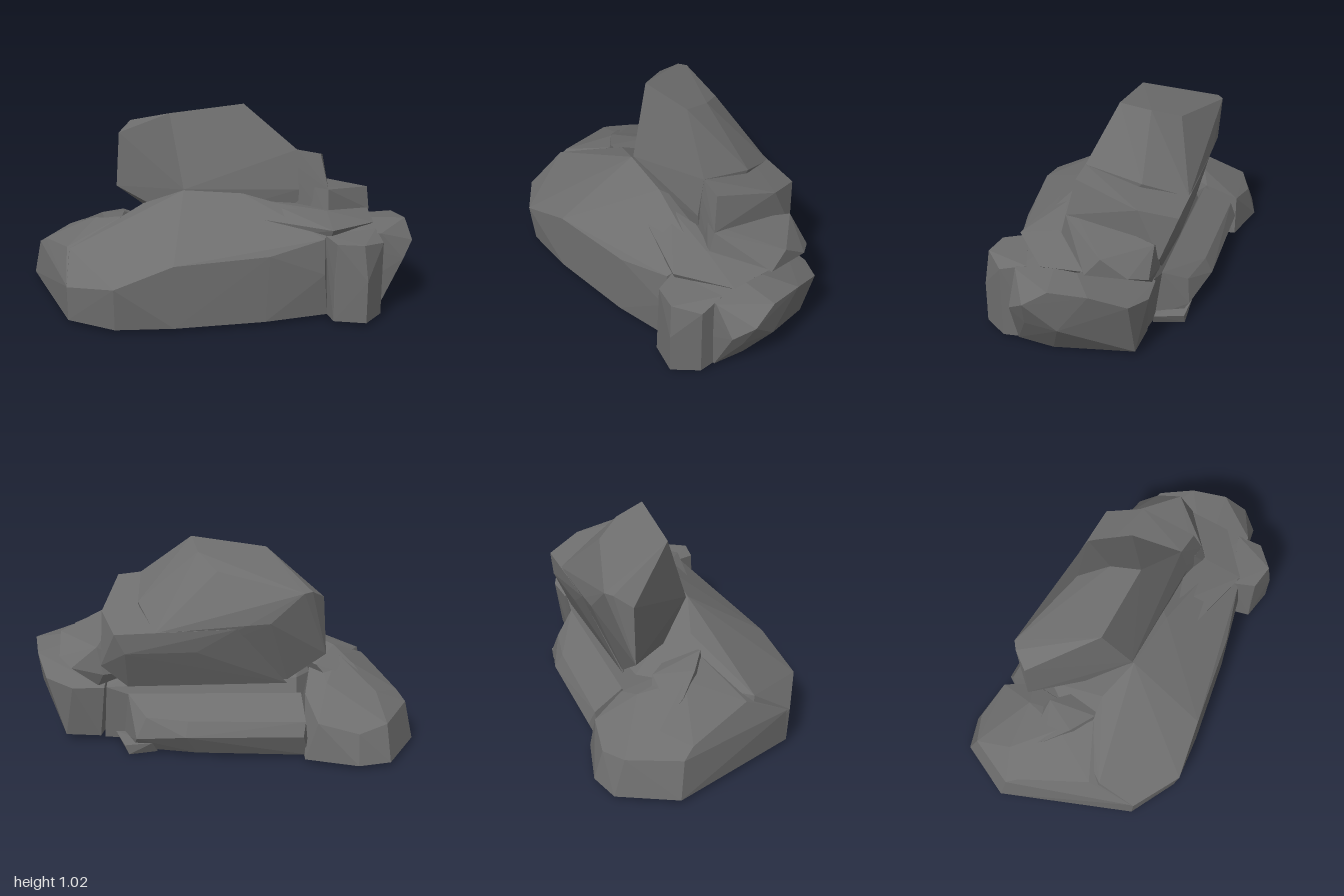
import * as THREE from 'three';
import { ConvexGeometry } from 'three/addons/geometries/ConvexGeometry.js';

const stone = new THREE.MeshStandardMaterial({ color: 0x6e6e6e });
stone.name = 'grey stone';

// A faceted stone from its corner points
function rock(name, corners) {
  const mesh = new THREE.Mesh(
    new ConvexGeometry(corners.map(([x, y, z]) => new THREE.Vector3(x, y, z))), stone);
  mesh.name = name;
  return mesh;
}

export function createModel() {
  const group = new THREE.Group();
  group.name = 'rockFormation';

  // Broad base with a long sloping front
  group.add(rock('frontBase', [
    [-0.75, 0.02, 0.42], [-0.51, 0.02, 0.55], [-0.22, 0.02, 0.54], [0.23, 0.02, 0.47],
    [0.55, 0.02, 0.38], [0.58, 0.02, -0.28], [-0.4, 0.02, -0.4], [-0.8, 0.02, 0.2],
    [-0.75, 0.2, 0.43], [-0.51, 0.24, 0.575], [-0.22, 0.34, 0.53], [0.25, 0.36, 0.46],
    [0.53, 0.24, 0.4], [0.53, 0.42, 0.38], [-0.75, 0.33, 0.23], [-0.51, 0.43, 0.06],
    [-0.38, 0.51, 0.05], [-0.17, 0.6, 0.12], [0.13, 0.59, 0.15], [0.56, 0.48, 0.22],
    [0.56, 0.31, -0.31], [-0.4, 0.35, -0.25],
  ]));

  // Tall leaning slab, its top falling away to the back
  group.add(rock('topSlab', [
    [-0.24, 0.97, -0.02], [0.14, 1.02, -0.01], [0.1, 0.98, -0.16], [0, 0.92, -0.29],
    [0.41, 0.8, 0.08], [0.4, 0.73, -0.2], [0.3, 0.64, -0.41], [0.42, 0.6, 0.12],
    [-0.17, 0.6, 0.11], [-0.38, 0.88, -0.2], [-0.52, 0.8, -0.3], [-0.46, 0.85, -0.38],
    [-0.42, 0.85, -0.41], [-0.54, 0.5, -0.3], [-0.26, 0.7, -0.425], [-0.15, 0.69, -0.425],
    [-0.43, 0.62, -0.34], [-0.35, 0.36, -0.3], [0.3, 0.42, -0.35], [-0.17, 0.42, 0.1],
    [0.42, 0.42, 0.1],
  ]));

  // Lower shoulder joined to the slab
  group.add(rock('slabShoulder', [
    [0.3, 0.79, 0.07], [0.41, 0.8, 0.08], [0.53, 0.78, 0.09], [0.57, 0.6, 0.13],
    [0.57, 0.44, 0.15], [0.58, 0.69, -0.23], [0.5, 0.63, -0.41], [-0.1, 0.67, -0.42],
    [0.45, 0.53, -0.41], [0.1, 0.54, -0.4], [0.58, 0.44, -0.34], [0.45, 0.32, -0.32],
    [-0.35, 0.34, -0.3], [0.3, 0.42, 0.1],
  ]));

  // Wedge that steps down beside the slab
  group.add(rock('sideShelf', [
    [0.5, 0.61, 0.12], [0.57, 0.6, 0.13], [0.81, 0.54, -0.12], [0.81, 0.44, -0.04],
    [0.8, 0.45, -0.25], [0.6, 0.53, -0.32], [0.73, 0.42, -0.33], [0.57, 0.39, -0.34],
    [0.57, 0.44, 0.17], [0.6, 0.32, -0.31], [0.4, 0.5, 0.1], [0.4, 0.4, -0.3],
  ]));

  // Undercut boulder at the side
  group.add(rock('sideBoulder', [
    [0.5, 0.02, 0.35], [0.82, 0, 0.12], [0.82, 0.02, 0.3], [0.6, 0.03, -0.29],
    [0.78, 0.03, -0.28], [0.95, 0.2, 0.05], [0.93, 0.2, 0.22], [1, 0.35, 0.2],
    [0.98, 0.43, 0.08], [0.94, 0.28, 0.29], [0.94, 0.41, -0.1], [0.87, 0.34, -0.27],
    [0.73, 0.31, -0.33], [0.57, 0.31, -0.32], [0.82, 0.42, 0.3], [0.57, 0.46, 0.15],
    [0.52, 0.43, 0.34],
  ]));

  // Narrow stone at the front corner
  group.add(rock('cornerStone', [
    [0.57, 0.02, 0.47], [0.73, 0.02, 0.5], [0.82, 0.02, 0.38], [0.57, 0.23, 0.46],
    [0.73, 0.24, 0.5], [0.58, 0.42, 0.46], [0.71, 0.42, 0.48], [0.82, 0.4, 0.38],
    [0.53, 0.02, 0.3], [0.53, 0.43, 0.34], [0.8, 0.43, 0.25], [0.8, 0.02, 0.2],
  ]));

  // Thin layer lying on the front slope
  group.add(rock('slopeLayer', [
    [0.16, 0.5, 0.27], [0.25, 0.55, 0.16], [0.56, 0.5, 0.17], [0.57, 0.46, 0.37],
    [0.8, 0.44, 0.18], [0.8, 0.45, -0.03], [0.25, 0.4, 0.28], [0.55, 0.38, 0.34],
    [0.75, 0.38, 0.1],
  ]));

  // Low boulder on the other side
  group.add(rock('lowBoulder', [
    [-1, 0.02, -0.25], [-0.86, 0.02, -0.53], [-0.7, 0.02, -0.575], [-0.44, 0.02, -0.51],
    [-0.75, 0.02, 0.42], [-0.8, 0.02, 0.2], [-0.96, 0.21, -0.22], [-0.92, 0.25, -0.16],
    [-0.84, 0.2, -0.47], [-0.7, 0.17, -0.53], [-0.5, 0.21, -0.5], [-0.8, 0.29, -0.28],
    [-0.77, 0.32, 0.18], [-0.75, 0.2, 0.42], [-0.62, 0.41, -0.08], [-0.5, 0.44, 0.06],
    [-0.55, 0.34, -0.3], [-0.44, 0.3, -0.34], [-0.4, 0.02, 0],
  ]));

  // Worn ridge on the low boulder
  group.add(rock('ridgeStone', [
    [-0.75, 0.32, -0.2], [-0.7, 0.37, -0.12], [-0.6, 0.44, -0.02], [-0.48, 0.47, 0.06],
    [-0.5, 0.4, -0.2], [-0.6, 0.3, -0.25], [-0.55, 0.3, 0.05], [-0.3, 0.4, 0],
  ]));

  // Ledge under the overhang at the back
  group.add(rock('backLedge', [
    [-0.46, 0.02, -0.46], [-0.43, 0.14, -0.51], [0.15, 0.13, -0.51], [0.1, 0.02, -0.45],
    [0.4, 0.09, -0.45], [0.42, 0.02, -0.4], [-0.44, 0.21, -0.48], [0.14, 0.2, -0.47],
    [0.35, 0.2, -0.43], [-0.42, 0.3, -0.33], [0.45, 0.28, -0.32], [0.5, 0.02, -0.25],
    [-0.4, 0.02, -0.2],
  ]));

  // Small foot stone at the back
  group.add(rock('footStone', [
    [0.3, 0.01, -0.42], [0.44, 0, -0.44], [0.46, 0.05, -0.44], [0.32, 0.07, -0.45],
    [0.52, 0.06, -0.3], [0.5, 0.01, -0.29], [0.3, 0.07, -0.3],
  ]));

  return group;
}
